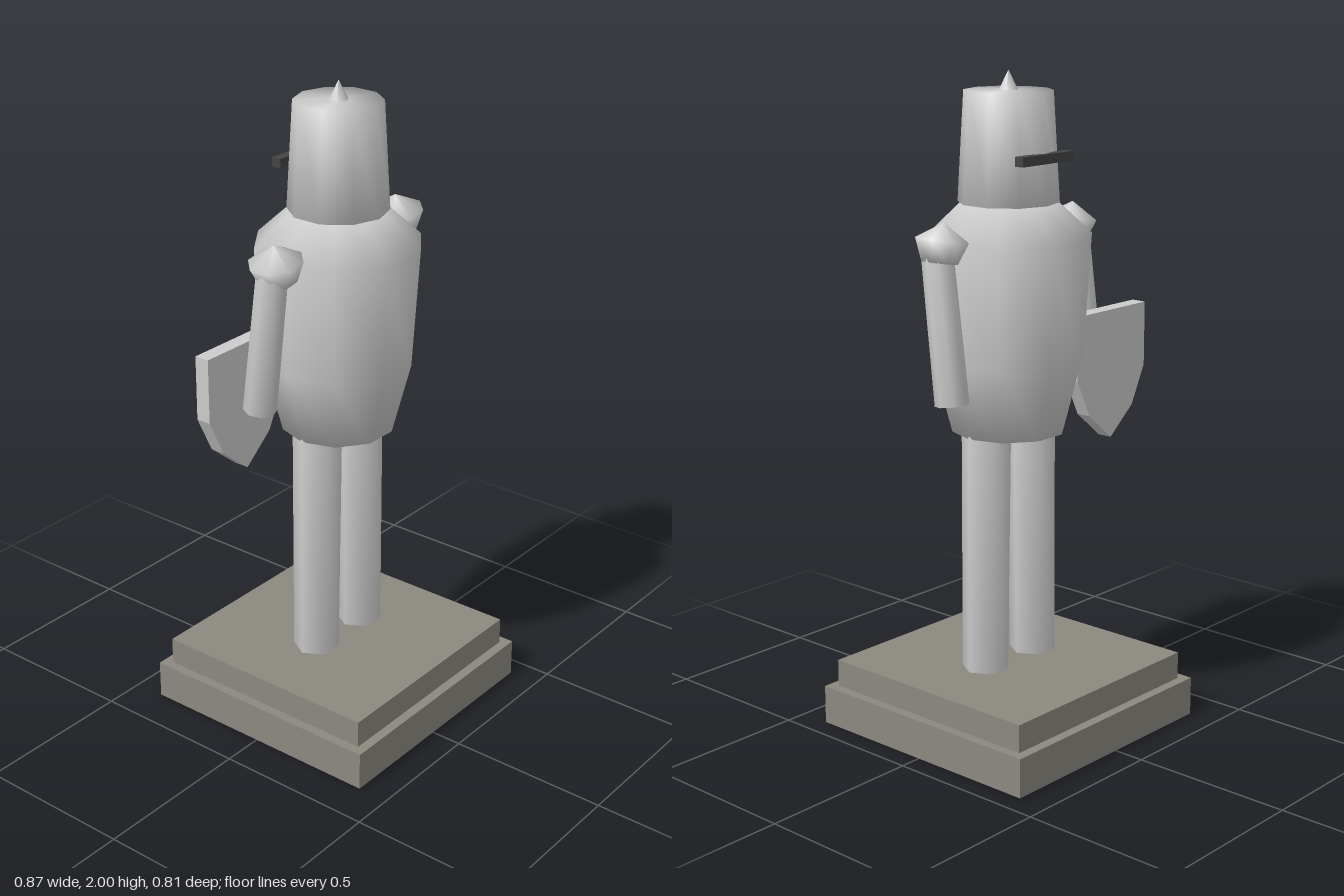
import * as THREE from 'three';

const steel = new THREE.MeshStandardMaterial({ color: 0xcccccc });
const stone = new THREE.MeshStandardMaterial({ color: 0x8c8880 });
const dark = new THREE.MeshStandardMaterial({ color: 0x444444 });

function add(parent, name, geometry, material, x = 0, y = 0, z = 0) {
  const mesh = new THREE.Mesh(geometry, material);
  mesh.name = name;
  mesh.position.set(x, y, z);
  parent.add(mesh);
  return mesh;
}

// Smooth turned solid; profile runs bottom to top as [radius, y]
function turned(profile, sides, phi = 0) {
  return new THREE.LatheGeometry(profile.map(([r, y]) => new THREE.Vector2(r, y)), sides, phi);
}

export function createModel() {
  const model = new THREE.Group();
  model.name = 'knightStatue';
  const cx = 0.03;

  // Stepped pedestal
  add(model, 'pedestalBase', new THREE.BoxGeometry(0.805, 0.12, 0.805), stone, cx, 0.06, 0);
  add(model, 'pedestalStep', new THREE.BoxGeometry(0.745, 0.085, 0.745), stone, cx, 0.1625, 0);

  // Body
  const torso = [[0, 0.935], [0.172, 0.935], [0.23, 1.16], [0.252, 1.52], [0.145, 1.62], [0, 1.62]];
  add(model, 'torso', turned(torso, 10, Math.PI / 2), steel, cx, 0, 0);

  // Helmet, spike and visor
  const helmet = [[0, 1.62], [0.15, 1.62], [0.131, 1.943], [0, 1.943]];
  add(model, 'helmet', turned(helmet, 10), steel, cx, 0, 0);
  add(model, 'helmetSpike', new THREE.ConeGeometry(0.031, 0.06, 6), steel, cx, 1.97, 0);
  add(model, 'visor', new THREE.BoxGeometry(0.22, 0.028, 0.03), dark, cx, 1.756, -0.139);

  const legProfile = [[0, 0], [0.071, 0], [0.075, 0.78], [0, 0.78]];
  const armProfile = [[0, -0.455], [0.05, -0.455], [0.046, 0], [0, 0]];
  const shoulderProfile = [[0, -0.068], [0.056, -0.064], [0.082, 0], [0, 0.05]];

  for (const side of [-1, 1]) {
    const prefix = side > 0 ? 'left' : 'right';

    // Leg, leaning slightly inwards
    const leg = add(model, prefix + 'Leg', turned(legProfile, 6, Math.PI / 2), steel, cx + side * 0.108, 0.2, 0);
    leg.rotation.z = side * 0.011;

    // Arm, swung slightly back
    const arm = add(model, prefix + 'Arm', turned(armProfile, 8), steel, cx + side * 0.3, 1.525, 0.004);
    arm.rotation.x = 0.123;

    // Shoulder guard, both tipped the same way
    const guard = add(model, prefix + 'Shoulder', turned(shoulderProfile, 8, Math.PI / 8), steel, cx + side * 0.282, 1.541, 0);
    guard.rotation.z = 0.17;
  }

  // Heater shield beside the right arm
  const outline = [[-0.16, 0.2], [-0.16, 0.002], [-0.103, -0.115], [0, -0.2], [0.103, -0.115], [0.16, 0.002], [0.16, 0.2]];
  const shield = new THREE.ExtrudeGeometry(
    new THREE.Shape(outline.map(([x, y]) => new THREE.Vector2(x, y))),
    { depth: 0.047, bevelEnabled: false }
  );
  add(model, 'shield', shield, steel, -0.275, 1.073, -0.147);

  return model;
}
